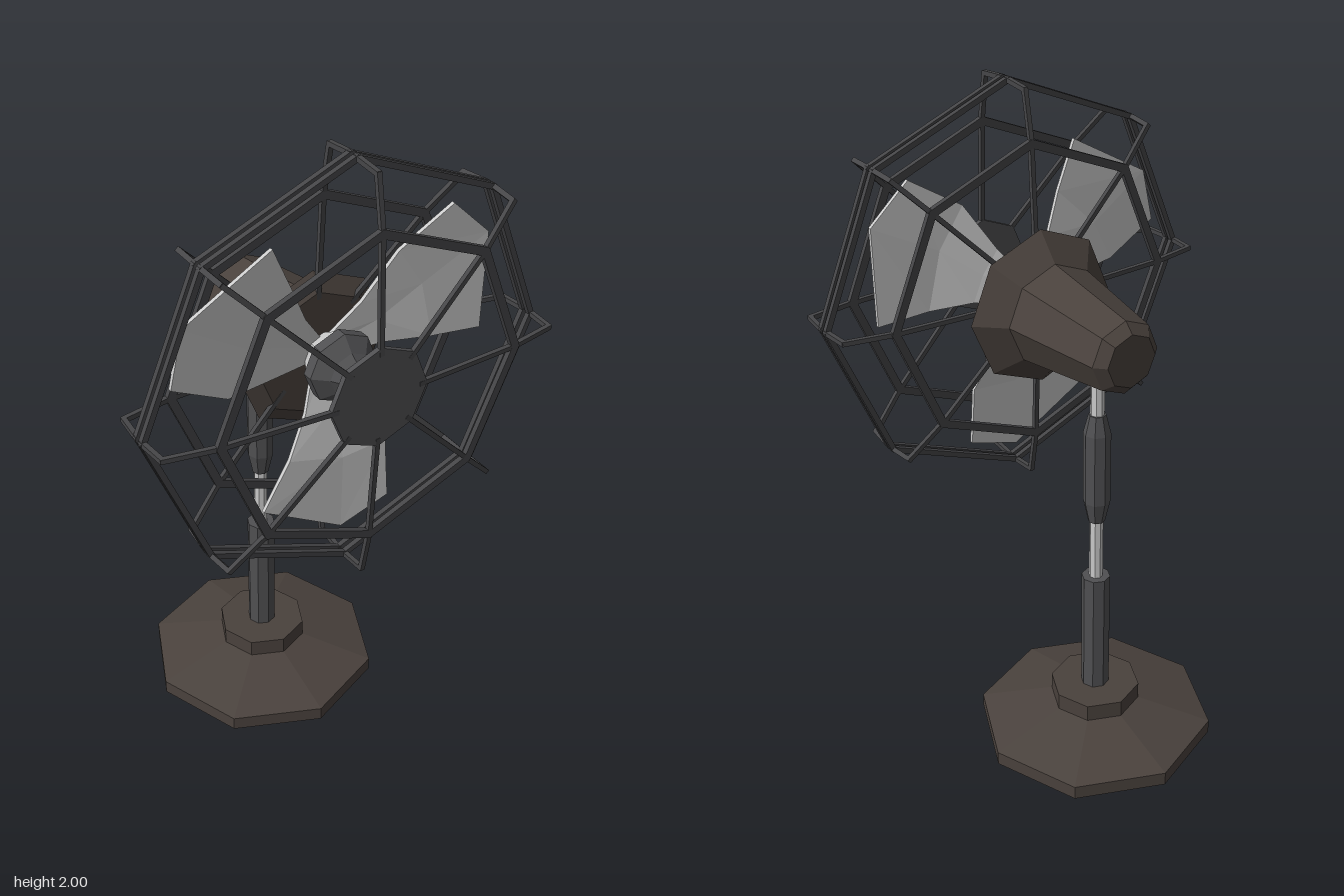
import * as THREE from 'three';

const paint = (color) => new THREE.MeshStandardMaterial({ color, flatShading: true });
const brown = paint(0x4a423d);
const dark = paint(0x505052);
const wire = paint(0x464648);
const grey = paint(0xcccccc);

const STAND_Z = -0.12;
const CAGE_Y = 1.38;
const CAGE_Z = 0.335;

function add(parent, name, geometry, material) {
  const mesh = new THREE.Mesh(geometry, material);
  mesh.name = name;
  parent.add(mesh);
  return mesh;
}

// Eight-sided turned shape from [radius, height] pairs, bottom to top
const turned = (pts) => new THREE.LatheGeometry(pts.map(([r, h]) => new THREE.Vector2(r, h)), 8);

// The same, lying along z
const turnedZ = (pts) => turned(pts).rotateX(Math.PI / 2);

// Octagonal hoop of rectangular section around z
const hoop = (r, z, w, d) => turnedZ([
  [r, z - d / 2], [r, z + d / 2], [r - w, z + d / 2], [r - w, z - d / 2], [r, z - d / 2],
]);

// Square bar between two points
function bar(a, b, w) {
  const dir = b.clone().sub(a);
  const g = new THREE.BoxGeometry(w, w, dir.length() + w * 0.6);
  const q = new THREE.Quaternion().setFromUnitVectors(new THREE.Vector3(0, 0, 1), dir.normalize());
  return g.applyQuaternion(q).translate((a.x + b.x) / 2, (a.y + b.y) / 2, (a.z + b.z) / 2);
}

// Thin slab skinned over rows of three points, flaring forward to the tip
function bladeGeometry() {
  const rows = [
    { z: 0.222, p: [[-0.035, -0.03], [0, -0.04], [0.035, -0.03]] },
    { z: 0.262, p: [[-0.085, -0.15], [0, -0.16], [0.085, -0.15]] },
    { z: 0.295, p: [[-0.155, -0.26], [0.02, -0.31], [0.163, -0.3]] },
    { z: 0.308, p: [[-0.245, -0.39], [0.01, -0.54], [0.17, -0.49]] },
  ];
  const t = 0.006;
  const pos = [];
  const idx = [];
  for (const { z, p } of rows) {
    for (const [x, y] of p) pos.push(x, y, z + t);
    for (const [x, y] of [...p].reverse()) pos.push(x, y, z - t);
  }
  for (let i = 0; i < rows.length - 1; i++) {
    for (let j = 0; j < 6; j++) {
      const a = i * 6 + j, b = i * 6 + (j + 1) % 6;
      idx.push(a, a + 6, b, b, a + 6, b + 6);
    }
  }
  const e = (rows.length - 1) * 6;
  for (const [a, b, c] of [[0, 5, 4], [0, 4, 1], [1, 4, 3], [1, 3, 2]]) {
    idx.push(e + a, e + b, e + c, a, c, b);
  }
  const g = new THREE.BufferGeometry();
  g.setAttribute('position', new THREE.Float32BufferAttribute(pos, 3));
  g.setIndex(idx);
  g.computeVertexNormals();
  return g;
}

function createStand() {
  const stand = new THREE.Group();
  stand.name = 'stand';
  stand.position.z = STAND_Z;
  add(stand, 'base', turned([[0, 0], [0.37, 0], [0.37, 0.045], [0.14, 0.11], [0.14, 0.165], [0, 0.165]]), brown);
  add(stand, 'lowerPole', turned([[0.044, 0.16], [0.044, 0.57], [0, 0.57]]), dark);
  add(stand, 'upperPole', turned([[0.021, 0.56], [0.021, 1.28]]), grey);
  add(stand, 'heightGrip', turned([
    [0, 0.77], [0.026, 0.77], [0.041, 0.84], [0.041, 1.07], [0.026, 1.13], [0, 1.13],
  ]), dark);
  return stand;
}

function createRotor() {
  const rotor = new THREE.Group();
  rotor.name = 'rotor';
  rotor.position.y = CAGE_Y;
  add(rotor, 'axle', turnedZ([[0.03, 0.17], [0.03, 0.3]]), grey);
  add(rotor, 'hub', turnedZ([
    [0, 0.22], [0.06, 0.22], [0.085, 0.265], [0.085, 0.29],
  ]), grey);
  add(rotor, 'hubNose', turnedZ([
    [0, 0.288], [0.105, 0.288], [0.105, 0.32], [0.065, 0.355], [0.035, 0.4], [0, 0.4],
  ]), dark);
  const geometry = bladeGeometry();
  for (let i = 0; i < 3; i++) {
    add(rotor, 'blade', geometry, grey).rotation.z = i * Math.PI * 2 / 3;
  }
  return rotor;
}

function createCage() {
  const cage = new THREE.Group();
  cage.name = 'cage';
  cage.position.set(0, CAGE_Y, CAGE_Z);
  // Wire path of one spoke: [radius, distance from the middle plane]
  const path = [[0.612, 0.01], [0.604, 0.103], [0.462, 0.13], [0.13, 0.148]];
  for (const side of [1, -1]) {
    add(cage, 'outerRing', hoop(0.62, side * 0.014, 0.018, 0.016), wire);
    add(cage, 'innerRing', hoop(0.472, side * 0.13, 0.026, 0.016), wire);
    const pts = path.map(([r, z]) => new THREE.Vector3(r, 0, side * z));
    for (let k = 0; k < 8; k++) {
      const spoke = new THREE.Group();
      spoke.name = 'spoke';
      spoke.rotation.z = k * Math.PI / 4;
      for (let i = 0; i < pts.length - 1; i++) {
        add(spoke, 'spokeWire', bar(pts[i], pts[i + 1], 0.014), wire);
      }
      cage.add(spoke);
    }
  }
  add(cage, 'frontPlate', turnedZ([[0, 0.138], [0.15, 0.138], [0.15, 0.154], [0, 0.154]]), dark);
  return cage;
}

export function createModel() {
  const fan = new THREE.Group();
  fan.name = 'deskFan';
  fan.add(createStand());
  // Motor housing, back to front
  add(fan, 'motorHousing', turnedZ([
    [0, -0.275], [0.08, -0.275], [0.11, -0.245], [0.158, 0.09],
    [0.24, 0.162], [0.19, 0.195], [0, 0.195],
  ]), brown).position.y = 1.36;
  fan.add(createRotor(), createCage());
  return fan;
}
